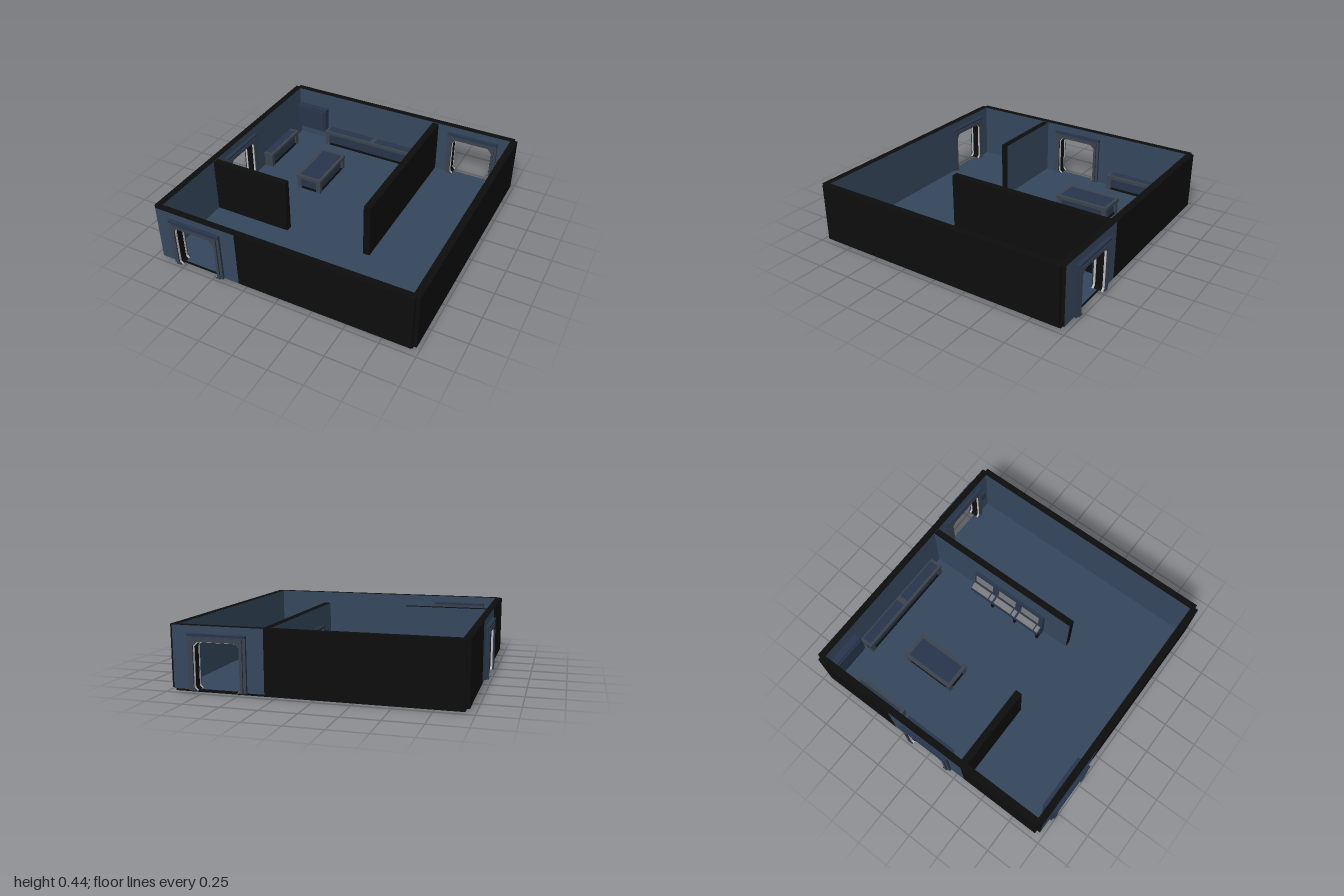
import * as THREE from 'three';

const mat = (color) => new THREE.MeshStandardMaterial({ color, flatShading: true });

export function createModel() {
  const black = mat(0x0d0d0d), blue = mat(0x35465c), navy = mat(0x27344a);
  const slate = mat(0x3a424d), grey = mat(0x77777a), light = mat(0xb8b8b8);
  const root = new THREE.Group();

  const group = (name, parent = root) => {
    const g = new THREE.Group();
    g.name = name;
    parent.add(g);
    return g;
  };
  // Box given by its lower and upper bounds
  const box = (name, x0, x1, y0, y1, z0, z1, m, parent = root) => {
    const mesh = new THREE.Mesh(new THREE.BoxGeometry(x1 - x0, y1 - y0, z1 - z0), m);
    mesh.position.set((x0 + x1) / 2, (y0 + y1) / 2, (z0 + z1) / 2);
    mesh.name = name;
    parent.add(mesh);
    return mesh;
  };
  // Black box with chosen faces in blue (+x -x +y -y +z -z = 0..5)
  const faced = (...blues) => [0, 1, 2, 3, 4, 5].map((i) => (blues.includes(i) ? blue : black));

  // Floor and walls
  const F = 0.02, H = 0.44;
  box('floor', -0.935, 0.955, 0, F, -0.95, 0.945, faced(2));
  box('rightSideWall', 0.93, 0.98, F, H, -0.95, 0.945, faced(1));
  box('backWall', -0.935, 0.325, F, H, -0.975, -0.925, faced(4));
  box('frontWall', -0.305, 0.955, F, H, 0.92, 0.97, faced(5));
  box('leftSideWallBack', -0.96, -0.91, F, H, -0.95, -0.315, faced(0));
  box('leftSideWallFront', -0.96, -0.91, F, H, 0.315, 0.945, faced(0));
  box('longPartition', 0.3, 0.35, F, 0.435, -0.925, 0.31, faced(1));
  box('shortPartition', -0.91, -0.305, F, 0.435, 0.285, 0.335, faced(5));

  // Arch: a rectangle with a chamfered doorway cut up from its lower edge
  const arch = (w, h, ow, oh, c, b) => {
    const a = w / 2, o = ow / 2;
    return new THREE.Shape([
      [-a, 0], [-o + b, 0], [-o, b], [-o, oh - c], [-o + c, oh], [o - c, oh],
      [o, oh - c], [o, b], [o - b, 0], [a, 0], [a, h], [-a, h],
    ].map(([x, y]) => new THREE.Vector2(x, y)));
  };
  const slab = (name, shape, depth, z, m, parent) => {
    const geo = new THREE.ExtrudeGeometry(shape, { depth, bevelEnabled: false });
    geo.translate(0, F, z - depth / 2);
    const mesh = new THREE.Mesh(geo, m);
    mesh.name = name;
    parent.add(mesh);
  };

  // Doorways: wall section, projecting frame and jamb lining
  const doorway = (name, x, z, turn) => {
    const g = group(name);
    g.position.set(x, 0, z);
    g.rotation.y = turn;
    slab('doorWall', arch(0.63, H - F, 0.34, 0.33, 0.03, 0), 0.05, 0, [blue, black], g);
    slab('doorFrame', arch(0.4, 0.37, 0.33, 0.325, 0.03, 0.018), 0.084, 0, [slate, navy], g);
    slab('frameRim', arch(0.36, 0.345, 0.32, 0.32, 0.03, 0.018), 0.105, 0, [slate, navy], g);
    slab('jambLining', arch(0.34, 0.335, 0.314, 0.317, 0.03, 0.018), 0.05, 0, black, g);
    for (const s of [-1, 1]) {
      slab('jambStrip', arch(0.34, 0.335, 0.312, 0.316, 0.03, 0.018), 0.014, s * 0.034, light, g);
      box('frameTop', -0.2, 0.2, 0.375, 0.39, s > 0 ? 0.03 : -0.0525, s > 0 ? 0.0525 : -0.03, navy, g);
    }
  };
  doorway('frontDoorway', -0.62, 0.945, 0);
  doorway('backDoorway', 0.64, -0.95, Math.PI);
  doorway('sideDoorway', -0.935, 0, -Math.PI / 2);
  box('doorControl', 0.85, 0.89, 0.18, 0.25, -0.925, -0.91, navy);

  // Low furniture: rimmed top with sunken panels, corner legs and a recessed core
  const lowUnit = (name, x0, x1, z0, z1, top, panels) => {
    const g = group(name), r = 0.012, t = 0.025;
    box('core', x0 + 0.02, x1 - 0.02, F, top - t, z0 + 0.02, z1 - 0.02, navy, g);
    box('topSlab', x0, x1, top - t, top, z0, z1, slate, g);
    for (const [a, b, c, d] of panels) box('topPanel', a, b, top - r, top + 0.002, c, d, navy, g);
    for (const x of [x0 + 0.005, x1 - 0.04])
      for (const z of [z0 + 0.005, z1 - 0.04])
        box('leg', x, x + 0.035, F, top - t, z, z + 0.035, slate, g);
    box('plinth', x0 + 0.01, x1 - 0.01, F, F + 0.015, z0 + 0.01, z1 - 0.01, black, g);
  };
  lowUnit('centreTable', -0.515, -0.305, -0.585, -0.165, 0.14, [[-0.49, -0.33, -0.56, -0.19]]);
  lowUnit('sideBench', -0.91, -0.83, -0.74, -0.315, 0.14, [[-0.91, -0.855, -0.715, -0.34]]);
  lowUnit('backBench', -0.62, 0.22, -0.925, -0.825, 0.15,
    [[-0.6, -0.21, -0.915, -0.845], [-0.17, 0.2, -0.915, -0.845]]);

  // Wall cabinet in the back corner
  const cabinet = group('wallCabinet');
  box('cabinetBody', -0.905, -0.64, 0.11, 0.31, -0.925, -0.87, navy, cabinet);
  box('cabinetDoor', -0.89, -0.655, 0.125, 0.295, -0.87, -0.86, navy, cabinet);

  // Control desk against the long partition: sloped top, hutch and three stations
  const desk = group('controlDesk');
  const profile = new THREE.Shape([
    [0.24, F], [0.3, F], [0.3, 0.29], [0.28, 0.29], [0.265, 0.17], [0.21, 0.14], [0.21, 0.115], [0.24, 0.1],
  ].map(([x, y]) => new THREE.Vector2(x, y)));
  const body = new THREE.ExtrudeGeometry(profile, { depth: 0.63, bevelEnabled: false });
  body.translate(0, 0, -0.53);
  const bodyMesh = new THREE.Mesh(body, navy);
  bodyMesh.name = 'deskBody';
  desk.add(bodyMesh);
  for (let i = 0; i < 3; i++) {
    const z = -0.525 + i * 0.212;
    for (const [dz, w] of [[0, 0.155], [0.165, 0.03]]) {
      const keys = box('keyPanel', -0.024, 0.024, -0.003, 0.003, z + dz, z + dz + w, grey, desk);
      keys.position.x = 0.237;
      keys.position.y = 0.157;
      keys.rotation.z = Math.atan2(0.03, 0.055);
    }
    const screen = box('screen', -0.003, 0.003, -0.037, 0.037, z + 0.01, z + 0.165, grey, desk);
    screen.position.x = 0.272;
    screen.position.y = 0.23;
    screen.rotation.z = -Math.atan2(0.015, 0.12);
    box('deskLeg', 0.22, 0.25, F, 0.115, z + 0.18, z + 0.2, black, desk);
  }
  return root;
}
